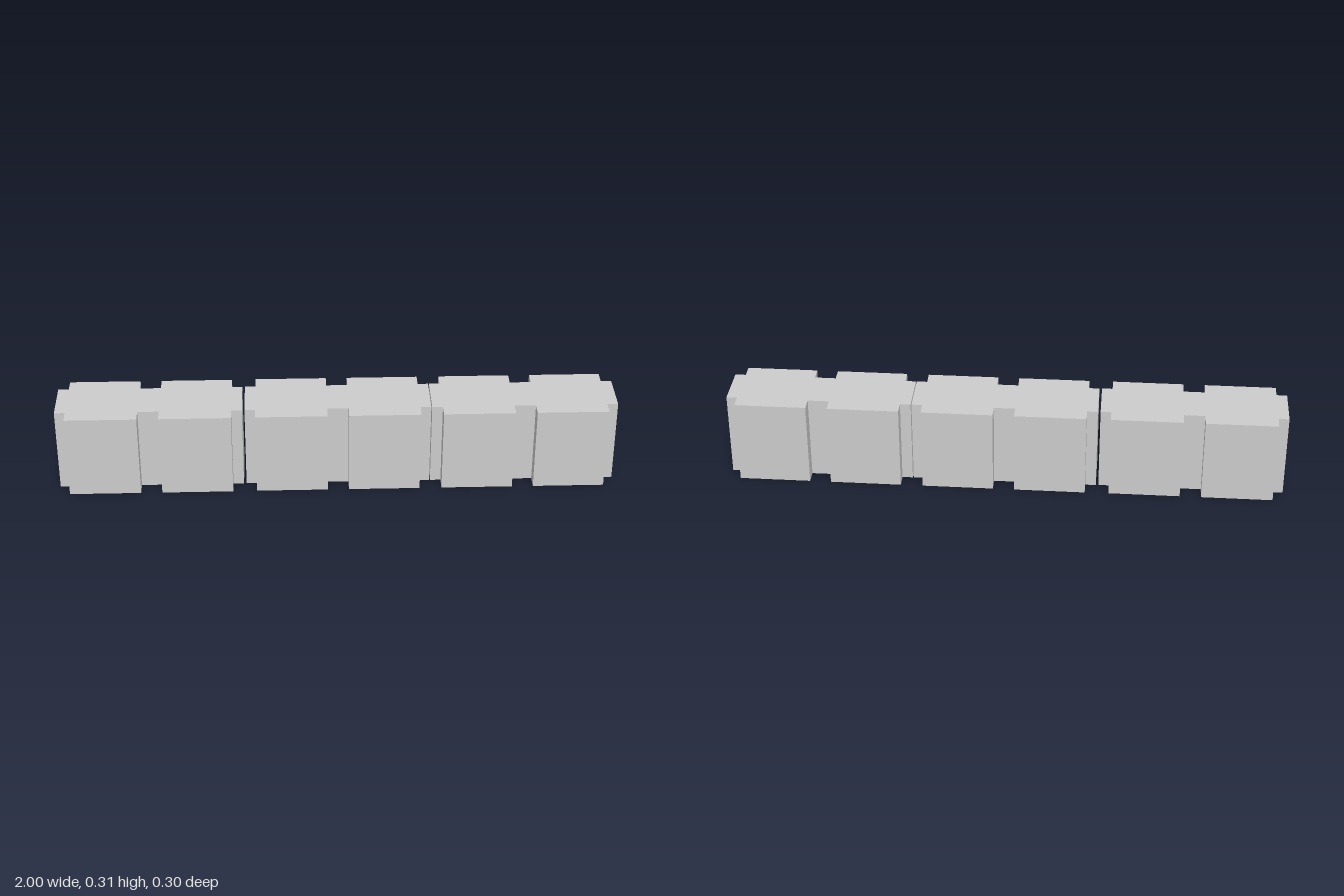
import * as THREE from 'three';

const HEIGHT = 0.31;
const SLOPE = 0.0185; // slight turn of the whole row, in radians

// Plan of one block: two wide lobes joined by a neck, with a narrow tab at each end
function blockPlan() {
  const lobe = 0.132, neck = 0.081;
  const edge = [
    [-0.331, neck], [-0.293, neck], [-0.293, lobe], [-0.038, lobe], [-0.038, neck],
    [0.038, neck], [0.038, lobe], [0.293, lobe], [0.293, neck], [0.331, neck],
  ];
  const outline = [...edge, ...edge.map(([x, z]) => [x, -z]).reverse()];
  return new THREE.Shape(outline.map(([x, z]) => new THREE.Vector2(x, z)));
}

export function createModel() {
  const model = new THREE.Group();
  model.name = 'blockRow';
  const material = new THREE.MeshStandardMaterial({ color: 0xcccccc, flatShading: true });

  const geometry = new THREE.ExtrudeGeometry(blockPlan(), { depth: HEIGHT, bevelEnabled: false });
  geometry.rotateX(-Math.PI / 2); // stand the plan up along y

  // Three blocks end to end, with a small gap after the first
  const centres = [[-0.668, 0.013], [0.003, -0.001], [0.668, -0.0135]];
  centres.forEach(([x, z], i) => {
    const block = new THREE.Mesh(geometry, material);
    block.name = ['rightBlock', 'middleBlock', 'leftBlock'][i];
    block.position.set(x, 0, z);
    block.rotation.y = SLOPE;
    model.add(block);
  });
  return model;
}
